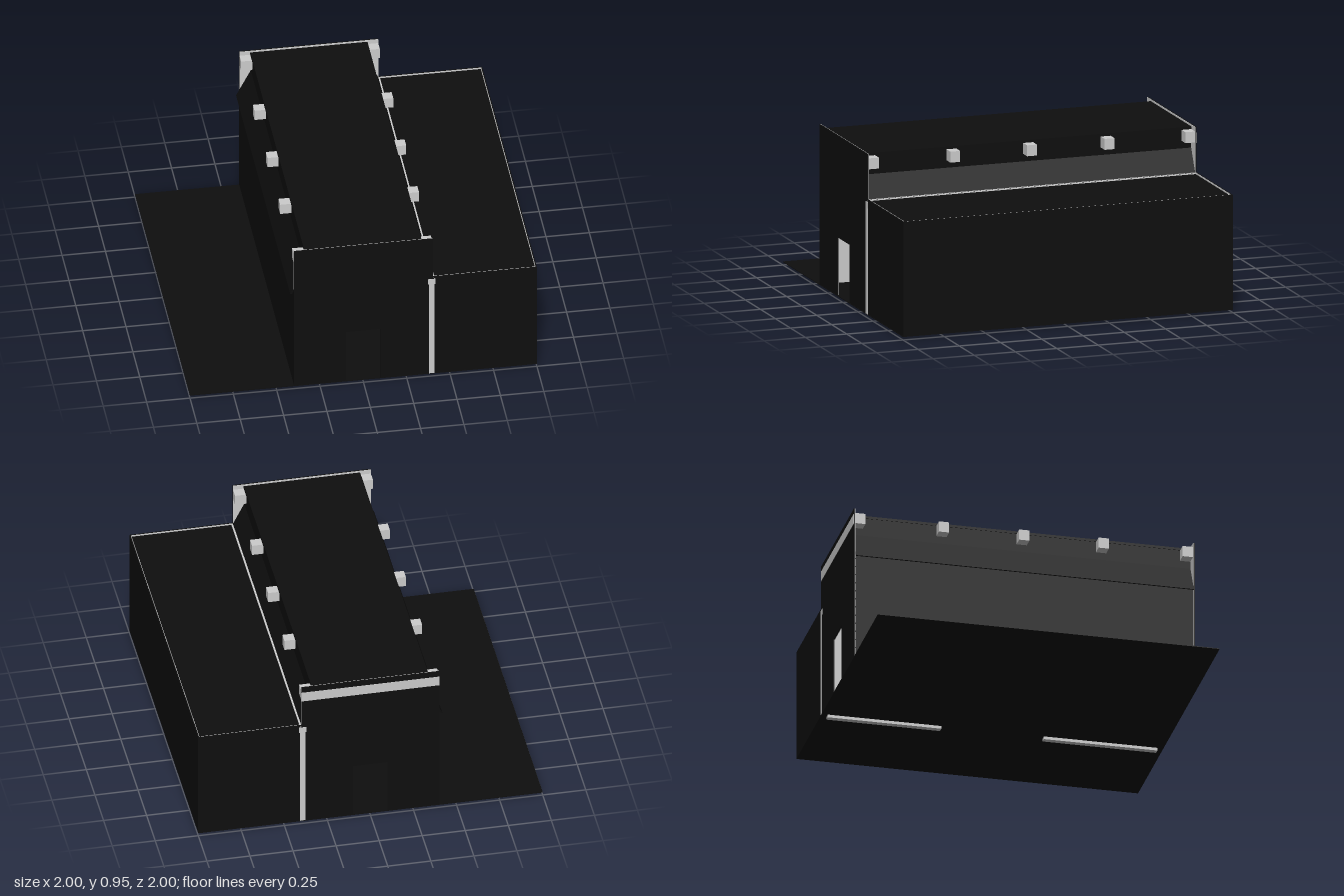
import * as THREE from 'three';

export function createModel() {
  const model = new THREE.Group();
  const black = new THREE.MeshStandardMaterial({ color: 0x0e0e0e });
  black.name = 'black cladding';
  const grey = new THREE.MeshStandardMaterial({ color: 0xcccccc });
  grey.name = 'light grey';

  const add = (name, geometry, material) => {
    const mesh = new THREE.Mesh(geometry, material);
    mesh.name = name;
    model.add(mesh);
    return mesh;
  };
  // Box given by its limits on each axis
  const box = (name, material, x0, x1, y0, y1, z0, z1) =>
    add(name, new THREE.BoxGeometry(x1 - x0, y1 - y0, z1 - z0), material)
      .position.set((x0 + x1) / 2, (y0 + y1) / 2, (z0 + z1) / 2);
  // Cross-section in x and y, drawn out along z
  const extrude = (name, material, points, z0, z1) => {
    const shape = new THREE.Shape(points.map(([x, y]) => new THREE.Vector2(x, y)));
    add(name, new THREE.ExtrudeGeometry(shape, { depth: z1 - z0, bevelEnabled: false }), material)
      .position.z = z0;
  };

  const floor = 0.02, eaves = 0.685, top = 0.955;
  box('groundSlab', black, -1, 1, floor - 0.003, floor + 0.001, -1, 1);

  // End walls of the hall with a doorway, dark outside and light inside
  const gable = [[-0.4, floor], [-0.1, floor], [-0.1, 0.36], [0.1, 0.36],
    [0.1, floor], [0.4, floor], [0.4, top], [-0.4, top]];
  for (const s of [-1, 1]) {
    const span = (a, b) => [Math.min(s * a, s * b), Math.max(s * a, s * b)];
    extrude('hallEndWall', black, gable, ...span(0.991, 0.998));
    extrude('hallEndLining', grey, gable, ...span(0.988, 0.991));
    box('annexEndWall', black, 0.4, 1, floor, 0.69, ...span(0.991, 0.998));
    box('annexEndLining', grey, 0.4, 0.995, floor, 0.69, ...span(0.988, 0.991));

    // Downpipe with hopper and the drain below the slab
    box('downpipe', grey, 0.377, 0.41, floor, 0.645, ...span(0.98, 1));
    box('hopper', grey, 0.372, 0.414, 0.64, 0.676, ...span(0.975, 1));
    box('drain', grey, 0.377, 0.41, 0, floor - 0.002, ...span(0.3, 0.965));
  }
  box('backBeamBand', grey, -0.4, 0.4, 0.86, 0.92, -1, -0.996);

  // Side walls, sloping skirts and recessed upper walls
  for (const s of [-1, 1]) {
    const span = (a, b) => [Math.min(s * a, s * b), Math.max(s * a, s * b)];
    box('hallSideWall', black, ...span(0.393, 0.4), floor, eaves, -0.995, 0.995);
    box('hallSideLining', grey, ...span(0.39, 0.393), floor, eaves, -0.988, 0.988);
    const foot = s > 0 ? [0.4, 0.69] : [0.42, 0.655];
    extrude('slopingSkirt', black,
      [[s * 0.333, 0.825], [s * foot[0], foot[1]], [s * (foot[0] - 0.01), foot[1]], [s * 0.323, 0.825]],
      -0.988, 0.988);
    box('upperWall', black, ...span(0.325, 0.335), 0.815, 0.93, -0.988, 0.988);
  }
  box('hallRoof', black, -0.338, 0.338, 0.93, 0.945, -0.988, 0.988);

  // Cross beams whose ends stick out below the roof
  for (const z of [-0.96, -0.47, 0, 0.465, 0.957]) {
    box('crossBeam', grey, -0.4, 0.4, 0.865, 0.929, z - 0.03, z + 0.03);
  }

  // Low annex with a slight parapet and a gutter along the hall
  box('annexSideWall', black, 0.994, 1, floor, 0.69, -0.998, 0.998);
  box('annexSideLining', grey, 0.991, 0.994, floor, 0.69, -0.988, 0.988);
  box('annexRoof', black, 0.4, 0.991, 0.672, 0.682, -0.988, 0.988);
  box('gutter', grey, 0.4, 0.41, 0.675, 0.686, -0.998, 0.998);

  return model;
}
